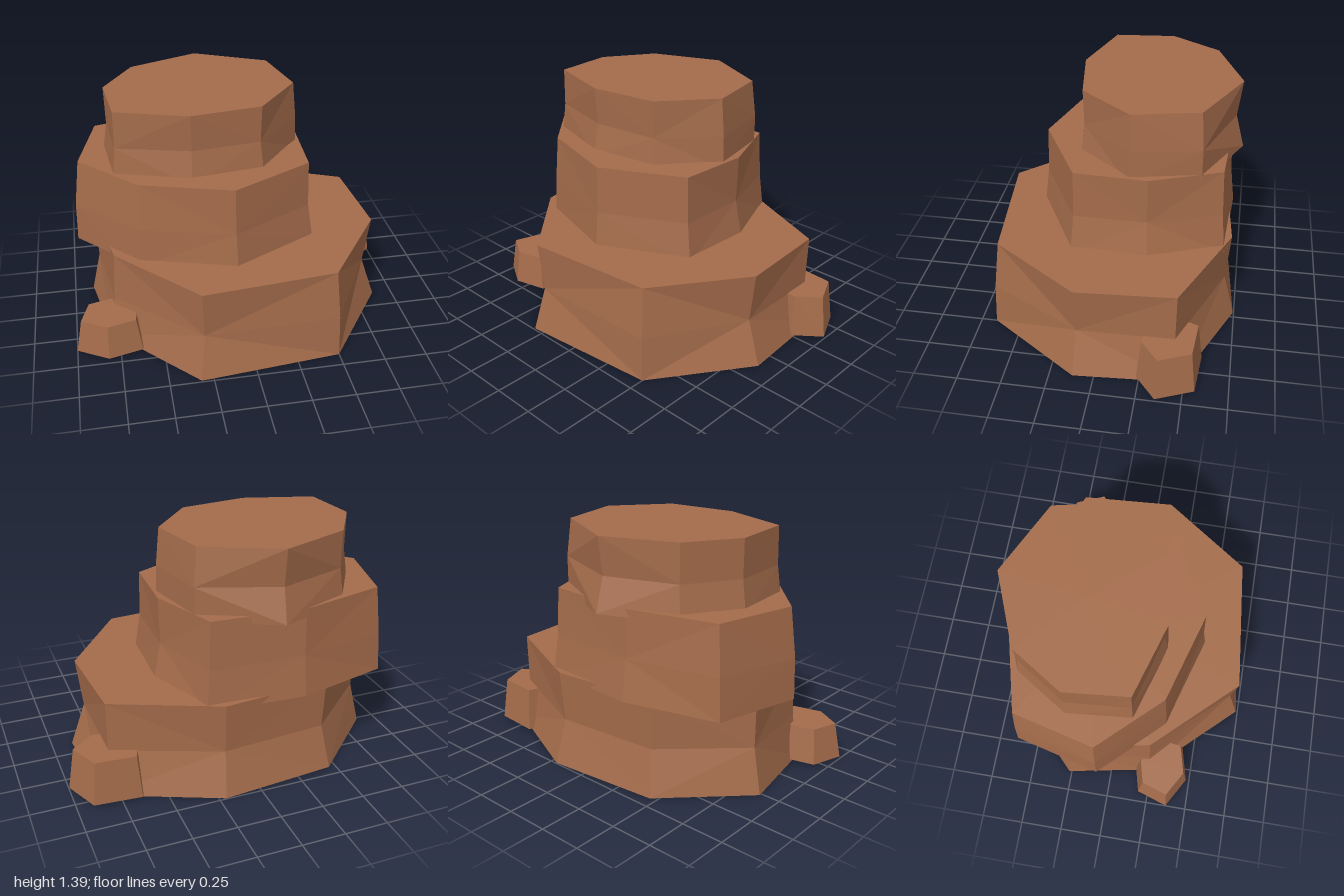
import * as THREE from 'three';

// Scale a ring of [x, z] points about a centre, by one factor or one per point
const scaleRing = (ring, [cx, cz], f) => ring.map(([x, z], i) => {
  const k = Array.isArray(f) ? f[i] : f;
  return [cx + (x - cx) * k, cz + (z - cz) * k];
});

// Faceted solid from stacked rings { y, ring }, capped at both ends
function loft(levels, hub = 0) {
  const pos = [];
  const pts = levels.map(({ y, ring }) => ring.map(([x, z]) => [x, y, z]));
  const tri = (a, b, c) => pos.push(...a, ...b, ...c);
  const n = pts[0].length;
  const mid = (ring) => [0, 1, 2].map((k) => ring.reduce((s, p) => s + p[k], 0) / n);
  const low = pts[0], high = pts[pts.length - 1];
  const lowMid = mid(low), highMid = mid(high);
  for (let i = 0; i < n; i++) {
    const j = (i + 1) % n;
    for (let l = 0; l + 1 < pts.length; l++) {
      const a = pts[l][i], b = pts[l][j], c = pts[l + 1][j], d = pts[l + 1][i];
      // Diagonals fan out from every second corner of the middle ring
      if ((i + l + hub) % 2) { tri(a, b, c); tri(a, c, d); }
      else { tri(a, b, d); tri(b, c, d); }
    }
    tri(lowMid, low[j], low[i]);
    tri(highMid, high[i], high[j]);
  }
  const g = new THREE.BufferGeometry();
  g.setAttribute('position', new THREE.Float32BufferAttribute(pos, 3));
  g.computeVertexNormals();
  return g;
}

export function createModel() {
  const group = new THREE.Group();
  const rock = new THREE.MeshStandardMaterial({ color: 0xa56c4b, flatShading: true });
  rock.name = 'brownRock';

  // Three stacked tiers, each pinched at the waist
  const tiers = [
    {
      name: 'bottomTier', y: [0, 0.26, 0.555], centre: [0, 0], top: 0.94, hub: 0,
      waist: [0.905, 0.985, 0.9, 0.935, 0.91, 0.92, 0.935, 0.96],
      ring: [[-0.32, 0.74], [0.5, 0.66], [0.88, 0.12], [0.84, -0.47],
        [0.21, -0.745], [-0.46, -0.68], [-0.885, -0.265], [-0.79, 0.24]],
    },
    {
      name: 'middleTier', y: [0.515, 0.75, 1.025], centre: [-0.24, -0.12], top: 0.94, hub: 0,
      waist: [0.955, 0.95, 0.93, 0.96, 0.95, 0.98, 0.99, 0.98],
      ring: [[-0.06, 0.46], [0.435, 0.205], [0.455, -0.235], [0.29, -0.66],
        [-0.28, -0.69], [-0.82, -0.55], [-0.94, -0.06], [-0.6, 0.3]],
    },
    {
      name: 'topTier', y: [0.98, 1.175, 1.39], centre: [-0.18, -0.15], top: 0.955, hub: 1,
      waist: [0.92, 0.94, 0.99, 1, 0.91, 0.95, 0.95, 0.96],
      ring: [[-0.285, 0.25], [0.135, 0.19], [0.39, -0.12], [0.305, -0.51],
        [-0.13, -0.72], [-0.555, -0.55], [-0.745, -0.25], [-0.71, 0.12]],
    },
  ];
  for (const { name, y, centre, top, waist, ring, hub } of tiers) {
    const mesh = new THREE.Mesh(loft([
      { y: y[0], ring },
      { y: y[1], ring: scaleRing(ring, centre, waist) },
      { y: y[2], ring: scaleRing(ring, centre, top) },
    ], hub), rock);
    mesh.name = name;
    group.add(mesh);
  }

  // Small boulders leaning on the base
  const boulders = [
    {
      name: 'rightBoulder', top: 0.22, centre: [-0.79, 0.32], taper: 0.82,
      ring: [[-0.82, 0.48], [-0.62, 0.43], [-0.6, 0.28], [-0.78, 0.15], [-0.94, 0.19], [-1, 0.375]],
    },
    {
      name: 'leftBoulder', top: 0.265, centre: [0.76, -0.4], taper: 0.85,
      ring: [[0.85, -0.235], [1, -0.355], [0.91, -0.565], [0.64, -0.585], [0.58, -0.42], [0.66, -0.25]],
    },
  ];
  for (const { name, top, centre, taper, ring } of boulders) {
    const mesh = new THREE.Mesh(loft([
      { y: 0.015, ring },
      { y: top, ring: scaleRing(ring, centre, taper) },
    ]), rock);
    mesh.name = name;
    group.add(mesh);
  }
  return group;
}
